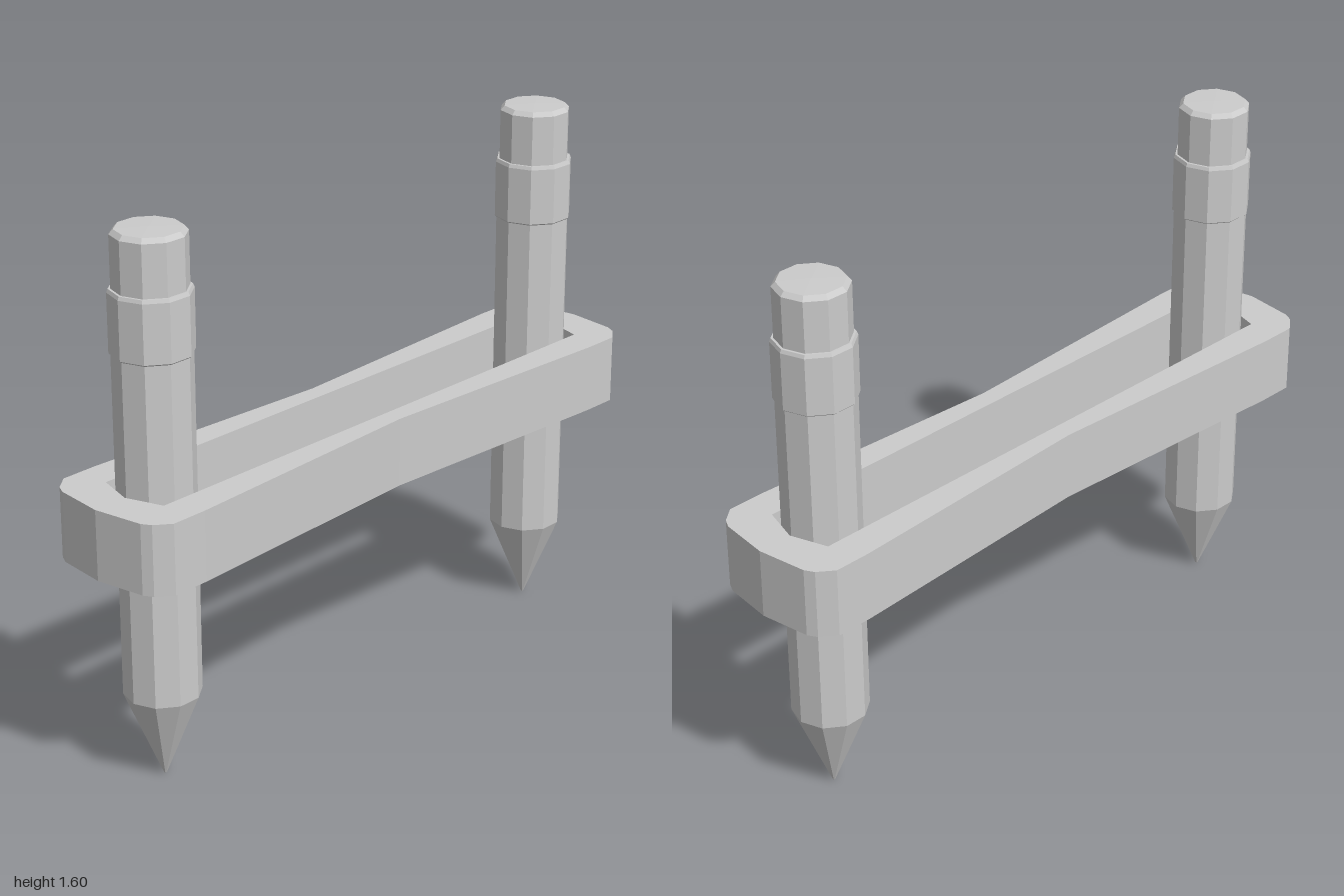
import * as THREE from 'three';

const mat = new THREE.MeshStandardMaterial({ color: 0xcccccc, flatShading: true });

// Ten-sided turned part from a [radius, y] profile, listed bottom to top
function turned(name, profile) {
  const pts = profile.map(([r, y]) => new THREE.Vector2(r, y));
  const geo = new THREE.LatheGeometry(pts, 10);
  geo.rotateY(Math.PI / 2);
  const mesh = new THREE.Mesh(geo, mat);
  mesh.name = name;
  return mesh;
}

function createPencil(name, x) {
  const pencil = new THREE.Group();
  pencil.name = name;
  pencil.add(
    turned('sharpenedTip', [[0, 0], [0.004, 0.002], [0.11, 0.26]]),
    turned('shaft', [[0.11, 0.26], [0.11, 1.26]]),
    turned('ferrule', [[0.108, 1.252], [0.115, 1.258], [0.115, 1.425], [0.111, 1.435], [0.1, 1.435]]),
    turned('eraser', [[0.104, 1.43], [0.104, 1.582], [0.092, 1.595], [0, 1.597]])
  );
  pencil.position.x = x;
  return pencil;
}

// Closed outline mirrored to four quadrants; the half list runs from the +x end to the middle
function mirrored(quarter, PathType) {
  const flipX = ([x, z]) => [-x, z];
  const half = [...quarter, ...quarter.slice(0, -1).reverse().map(flipX)];
  const full = [...half, ...half.slice(1, -1).reverse().map(([x, z]) => [x, -z])];
  return new PathType(full.map(([x, z]) => new THREE.Vector2(x, z)));
}

// Stretched band, pinched towards the middle of its span
function createBand() {
  const outline = mirrored([[1, 0], [0.98, 0.15], [0.965, 0.178], [0.92, 0.213], [0.81, 0.213], [0, 0.17]], THREE.Shape);
  outline.holes.push(mirrored([[0.895, 0], [0.86, 0.112], [0, 0.112]], THREE.Path));
  const geo = new THREE.ExtrudeGeometry(outline, { depth: 0.205, bevelEnabled: false });
  geo.rotateX(Math.PI / 2);
  geo.translate(0, 0.875, 0);
  const band = new THREE.Mesh(geo, mat);
  band.name = 'elasticBand';
  return band;
}

export function createModel() {
  const model = new THREE.Group();
  model.name = 'bandedPencils';
  model.add(createPencil('leftPencil', 0.78), createPencil('rightPencil', -0.78), createBand());
  return model;
}
